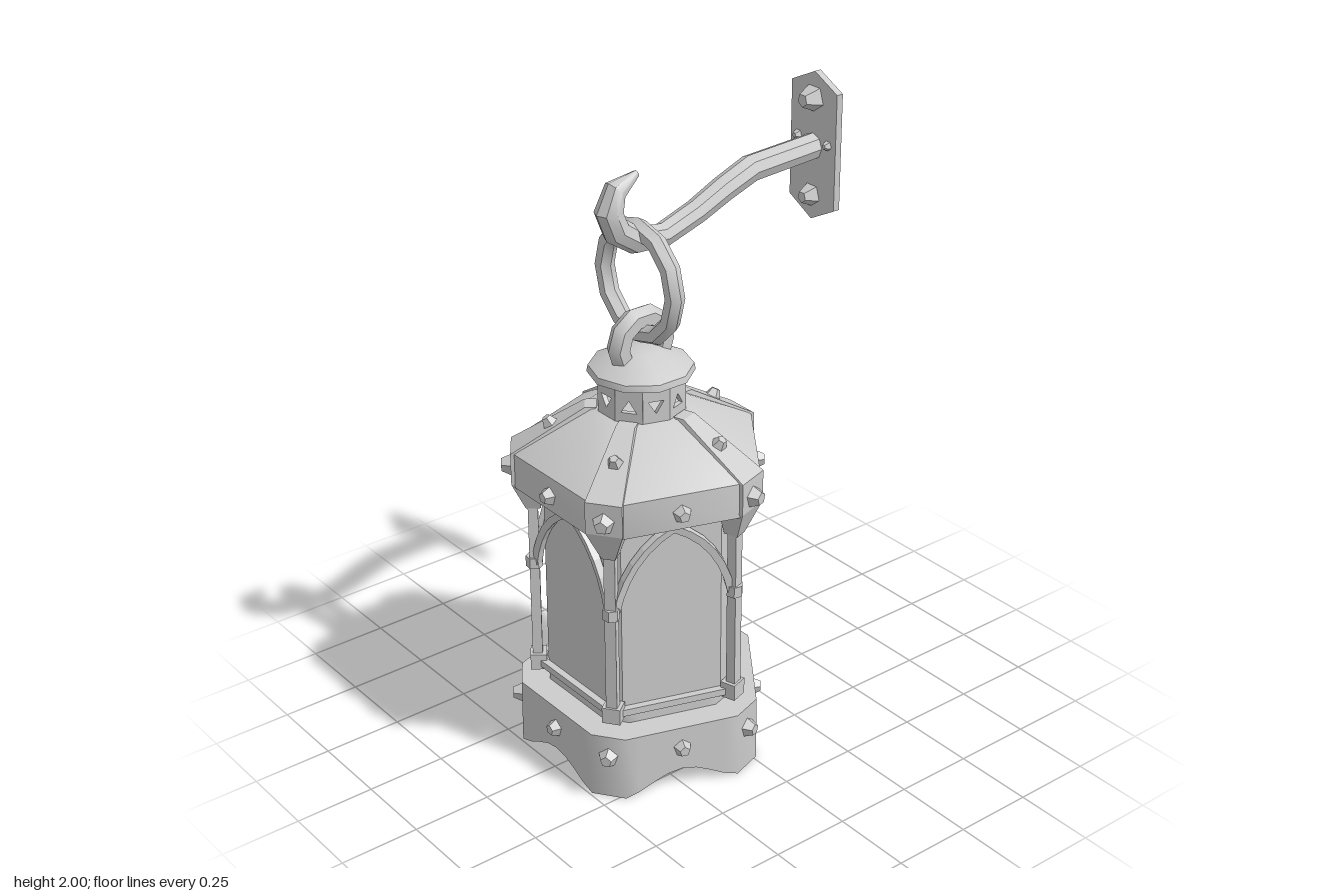
import * as THREE from 'three';
import { toCreasedNormals } from 'three/addons/utils/BufferGeometryUtils.js';

const STEP = Math.PI * 2 / 5;
const V = (x, y, z) => new THREE.Vector3(x, y, z);
const V2 = pts => pts.map(p => new THREE.Vector2(...p));

// Skin a list of rings (clockwise seen from the far end), closing both ends
function loft(rings) {
  const p = [], n = rings[0].length;
  const tri = (...vs) => vs.forEach(v => p.push(v.x, v.y, v.z));
  for (let j = 0; j + 1 < rings.length; j++) for (let i = 0; i < n; i++) {
    const k = (i + 1) % n, a = rings[j], b = rings[j + 1];
    tri(a[i], b[i], b[k]);
    tri(a[i], b[k], a[k]);
  }
  const mid = r => r.reduce((s, v) => s.add(v), V(0, 0, 0)).divideScalar(n);
  const first = rings[0], last = rings[rings.length - 1];
  const c0 = mid(first), c1 = mid(last);
  for (let i = 0; i < n; i++) {
    const k = (i + 1) % n;
    tri(c0, first[i], first[k]);
    tri(c1, last[k], last[i]);
  }
  const g = new THREE.BufferGeometry();
  g.setAttribute('position', new THREE.Float32BufferAttribute(p, 3));
  return g;
}

// Pentagon with cut corners; scallop lifts the middle of each side
function pentagon(y, r, w, scallop = 0, div = 8) {
  const pts = [];
  const corner = (k, s) => {
    const a = k * STEP;
    return V(Math.sin(a) * r + s * w * Math.cos(a), y, -Math.cos(a) * r + s * w * Math.sin(a));
  };
  for (let k = 0; k < 5; k++) {
    pts.push(corner(k, -1));
    const a = corner(k, 1), b = corner(k + 1, -1);
    for (let i = 0; i < div; i++) {
      const v = a.clone().lerp(b, i / div);
      v.y += scallop * Math.sin(Math.PI * i / div) ** 1.6;
      pts.push(v);
    }
  }
  return pts;
}

const rect = (y, hw, z0, z1) => [V(-hw, y, z0), V(hw, y, z0), V(hw, y, z1), V(-hw, y, z1)];

export function createModel() {
  const model = new THREE.Group();
  model.name = 'hangingLantern';
  const metal = new THREE.MeshStandardMaterial({ color: 0xcccccc });
  metal.name = 'paleGrey';

  // Edges sharper than the crease angle stay hard; the default is faceted
  const add = (parent, name, geo, [x, y, z] = [0, 0, 0], crease = 0.1) => {
    const m = new THREE.Mesh(toCreasedNormals(geo, crease), metal);
    m.name = name;
    m.position.set(x, y, z);
    parent.add(m);
    return m;
  };
  const SOFT = 0.7;
  // Rough-cut stud: a low dome with a slightly twisted, off-centre top
  const stud = (parent, pos, dir, r) => {
    const m = add(parent, 'stud', new THREE.CylinderGeometry(r * 0.45, r, r * 1.2, 5), pos);
    m.quaternion.setFromUnitVectors(V(0, 1, 0), V(...dir).normalize());
  };

  const lantern = new THREE.Group();
  lantern.name = 'lantern';
  lantern.position.z = 0.155;
  model.add(lantern);

  // Thin scalloped base with a low floor and a narrow plinth
  add(lantern, 'baseSkirt', loft([
    pentagon(0.08, 0.364, 0.052), pentagon(0, 0.368, 0.053, 0.065),
    pentagon(0, 0.378, 0.053, 0.065), pentagon(0.21, 0.376, 0.053),
    pentagon(0.212, 0.29, 0.04), pentagon(0.24, 0.29, 0.04)]), undefined, SOFT);

  // Inner glass body
  add(lantern, 'glassBody', loft([pentagon(0.23, 0.292, 0.02, 0, 1), pentagon(0.88, 0.292, 0.02, 0, 1)]));

  // Eave, band and sloping roof
  add(lantern, 'roof', loft([
    pentagon(0.865, 0.315, 0.03, 0, 1), pentagon(0.89, 0.322, 0.03, 0, 1),
    pentagon(0.89, 0.374, 0.053, 0, 1), pentagon(1.0, 0.374, 0.053, 0, 1),
    pentagon(1.13, 0.145, 0.047, 0, 1)]), undefined, SOFT);

  // One corner and the side next to it, repeated five times
  for (let k = 0; k < 5; k++) {
    const c = new THREE.Group();
    c.name = 'cornerFrame';
    c.rotation.y = -k * STEP;
    lantern.add(c);

    add(c, 'pillar', new THREE.BoxGeometry(0.034, 0.66, 0.03), [0, 0.57, -0.325]);
    add(c, 'pillarFoot', new THREE.BoxGeometry(0.056, 0.052, 0.05), [0, 0.264, -0.322]);
    add(c, 'pillarKnob', new THREE.CylinderGeometry(0.026, 0.026, 0.035, 6), [0, 0.61, -0.326]);
    add(c, 'cornerStrap', loft([
      rect(0.8, 0.02, -0.345, -0.3), rect(0.9, 0.055, -0.384, -0.3),
      rect(1.0, 0.055, -0.384, -0.33), rect(1.135, 0.028, -0.165, -0.13)]));

    // Pointed arch halves rising to the middle of each side
    for (const s of [-1, 1]) {
      const curve = new THREE.QuadraticBezierCurve3(
        V(s * 0.008, 0.61, -0.318), V(s * 0.04, 0.79, -0.298), V(s * 0.155, 0.858, -0.213));
      add(c, 'archHalf', new THREE.TubeGeometry(curve, 6, 0.016, 4));
    }

    // Studs on the corner
    stud(c, [0, 0.94, -0.386], [0, 0, -1], 0.045);
    stud(c, [0, 0.14, -0.381], [0, 0, -1], 0.04);
    stud(c, [0, 1.077, -0.27], [0, 1, -0.6], 0.03);

    // Sill and studs along the side
    const side = new THREE.Group();
    side.name = 'sideFrame';
    side.rotation.y = -STEP / 2;
    c.add(side);
    add(side, 'sill', new THREE.BoxGeometry(0.35, 0.022, 0.022), [0, 0.259, -0.261]);
    stud(side, [0, 0.94, -0.338], [0, 0, -1], 0.037);
    stud(side, [0, 0.14, -0.339], [0, 0, -1], 0.037);
  }

  // Neck pierced with triangular vents
  for (let i = 0; i < 10; i++) {
    const w = 0.041, s = i % 2 ? 1 : -1;
    const panel = new THREE.Shape(V2([[-w, 1.12], [w, 1.12], [w, 1.23], [-w, 1.23]]));
    panel.holes.push(new THREE.Path(V2([[-0.024, -0.018], [0.024, -0.018], [0, 0.02]].map(([x, y]) => [x, 1.178 + s * y]))));
    const m = add(lantern, 'ventPanel', new THREE.ExtrudeGeometry(panel, { depth: 0.015, bevelEnabled: false })
      .translate(0, 0, 0.112));
    m.rotation.y = i * Math.PI / 5;
  }

  // Cap
  const cap = [[0, 1.215], [0.125, 1.22], [0.158, 1.235], [0.154, 1.255], [0.06, 1.305], [0, 1.312]];
  add(lantern, 'cap', new THREE.LatheGeometry(V2(cap), 10), [-0.007, 0, -0.005], SOFT);

  // Cap loop and hanging ring
  add(lantern, 'capLoop', new THREE.TorusGeometry(0.08, 0.036, 6, 10), [-0.005, 1.325, -0.003], SOFT).rotation.y = Math.PI / 2;
  add(model, 'hangingRing', new THREE.TorusGeometry(0.163, 0.029, 6, 12), [-0.008, 1.515, 0.153], SOFT);

  // Tapering bracket arm with an upturned hook: z, y, radius
  const path = [[-0.5, 1.772, 0.04], [-0.25, 1.758, 0.041], [-0.15, 1.72, 0.039], [-0.05, 1.675, 0.037], [0.07, 1.635, 0.036],
    [0.17, 1.645, 0.04], [0.235, 1.69, 0.042], [0.259, 1.75, 0.042], [0.235, 1.81, 0.034], [0.16, 1.842, 0.01]];
  add(model, 'hookArm', loft(path.map(([z, y, r], i) => {
    const a = path[Math.max(i - 1, 0)], b = path[Math.min(i + 1, path.length - 1)];
    const across = V(1, 0, 0).cross(V(0, b[1] - a[1], b[0] - a[0]).normalize());
    return Array.from({ length: 8 }, (_, j) => {
      const t = j * Math.PI / 4;
      return V(Math.sin(t) * r - 0.005, y, z).addScaledVector(across, -Math.cos(t) * r);
    });
  })), undefined, SOFT);

  // Wall plate and its bolts
  const plate = new THREE.Shape(V2([[0, 1.543], [0.098, 1.595], [0.098, 1.952], [0, 2], [-0.098, 1.952], [-0.098, 1.595]]));
  add(model, 'wallPlate', new THREE.ExtrudeGeometry(plate, { depth: 0.022, bevelEnabled: false }), [-0.004, 0, -0.512]);
  stud(model, [-0.004, 1.92, -0.472], [0, 0, 1], 0.046);
  stud(model, [-0.004, 1.62, -0.475], [0, 0, 1], 0.04);
  for (const s of [-1, 1]) stud(model, [s * 0.065 - 0.004, 1.79, -0.484], [0, 0, 1], 0.018);

  return model;
}
